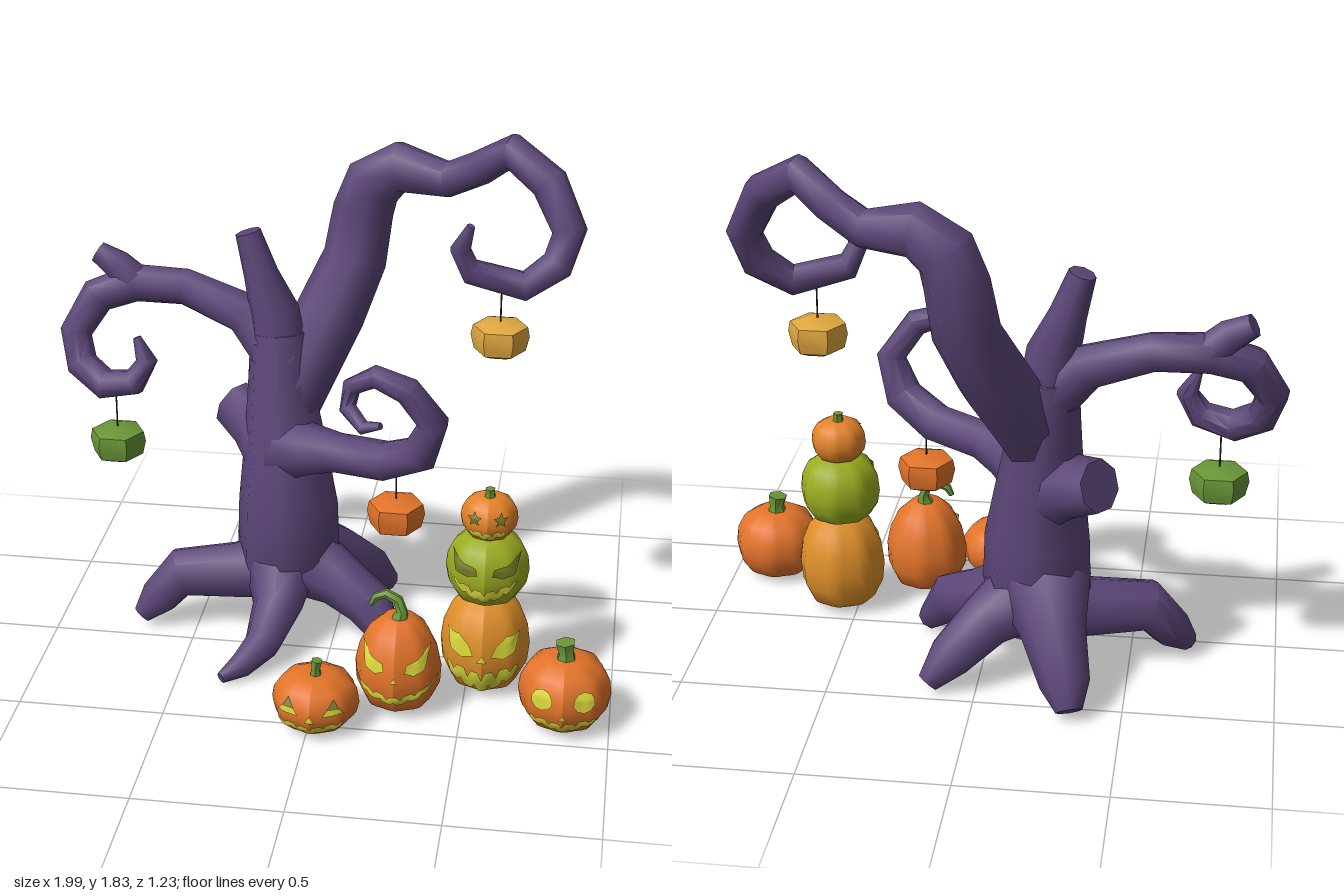
import * as THREE from 'three';
import { toCreasedNormals } from 'three/addons/utils/BufferGeometryUtils.js';

const mat = (name, color, side = THREE.FrontSide) => {
  const m = new THREE.MeshStandardMaterial({ color, side });
  m.name = name;
  return m;
};

export function createModel() {
  const model = new THREE.Group();
  model.name = 'spookyTree';
  const bark = mat('purple bark', 0x5b4678);
  const orange = mat('orange', 0xe3742a);
  const lightOrange = mat('light orange', 0xe4842a);
  const amber = mat('amber', 0xe0902a);
  const lime = mat('lime', 0x9bac20);
  const gold = mat('gold', 0xe0a840);
  const leaf = mat('leaf green', 0x6a9638);
  const glow = mat('yellow glow', 0xdad83a, THREE.DoubleSide);
  const olive = mat('dark olive', 0x72741f, THREE.DoubleSide);
  const cord = mat('dark cord', 0x3a3340);

  const add = (parent, name, geo, material) => {
    const m = new THREE.Mesh(geo, material);
    m.name = name;
    parent.add(m);
    return m;
  };

  const meshFrom = (pos, idx) => {
    const g = new THREE.BufferGeometry();
    g.setAttribute('position', new THREE.Float32BufferAttribute(pos, 3));
    g.setIndex(idx);
    g.computeVertexNormals();
    return g;
  };

  // Tapered limb: one ring per [x, y, z, radius], carried along the path without twisting
  const limb = (rows, sides = 8) => {
    const P = rows.map(r => new THREE.Vector3(r[0], r[1], r[2]));
    const n = P.length, pos = [], idx = [];
    let N = null;
    for (let i = 0; i < n; i++) {
      const T = P[Math.min(i + 1, n - 1)].clone().sub(P[Math.max(i - 1, 0)]).normalize();
      if (!N) N = Math.abs(T.z) < 0.8 ? new THREE.Vector3(0, 0, 1) : new THREE.Vector3(1, 0, 0);
      N.addScaledVector(T, -N.dot(T)).normalize();
      const B = T.clone().cross(N);
      for (let j = 0; j < sides; j++) {
        const a = (j / sides) * Math.PI * 2;
        const v = P[i].clone()
          .addScaledVector(N, Math.cos(a) * rows[i][3])
          .addScaledVector(B, Math.sin(a) * rows[i][3]);
        pos.push(v.x, v.y, v.z);
      }
    }
    pos.push(...P[0].toArray(), ...P[n - 1].toArray());
    const c0 = n * sides, c1 = c0 + 1, last = (n - 1) * sides;
    for (let j = 0; j < sides; j++) {
      const k = (j + 1) % sides;
      for (let i = 0; i < n - 1; i++) {
        const a = i * sides + j, b = i * sides + k;
        idx.push(a, b, b + sides, a, b + sides, a + sides);
      }
      idx.push(c0, k, j, c1, last + j, last + k);
    }
    return toCreasedNormals(meshFrom(pos, idx), 0.9);
  };

  // Tree
  const tree = new THREE.Group();
  tree.name = 'tree';
  model.add(tree);
  const limbs = {
    trunk: [[-.18, .17, -.2, .15], [-.18, .3, -.2, .185], [-.18, .5, -.2, .178], [-.195, .75, -.22, .142],
      [-.212, .95, -.25, .115], [-.22, 1.12, -.27, .1]],
    tallBranch: [[-.18, .86, -.24, .11], [-.12, 1.01, -.31, .12], [-.055, 1.15, -.385, .122], [.02, 1.33, -.465, .112],
      [.045, 1.5, -.49, .106], [.08, 1.6, -.49, .104], [.175, 1.665, -.48, .092], [.345, 1.645, -.43, .064],
      [.455, 1.705, -.39, .06], [.565, 1.785, -.34, .062], [.695, 1.7, -.28, .064], [.77, 1.55, -.24, .06],
      [.735, 1.44, -.21, .06], [.63, 1.37, -.18, .052], [.45, 1.42, -.16, .045], [.415, 1.5, -.15, .036],
      [.45, 1.59, -.13, .014]],
    leftBranch: [[-.19, 1.0, -.25, .1], [-.345, 1.165, -.3, .078], [-.56, 1.24, -.33, .066], [-.74, 1.245, -.33, .068],
      [-.87, 1.2, -.3, .064], [-.94, 1.08, -.25, .056], [-.91, .98, -.2, .056], [-.82, .925, -.16, .055],
      [-.71, .95, -.14, .048], [-.665, 1.03, -.15, .038], [-.7, 1.11, -.16, .014]],
    leftTwig: [[-.74, 1.25, -.33, .065], [-.8, 1.31, -.33, .055], [-.87, 1.35, -.34, .04]],
    middleBranch: [[-.18, .71, -.18, .12], [-.07, .75, -.1, .09], [.02, .77, -.05, .07], [.195, .79, .03, .07],
      [.32, .86, .1, .066], [.365, .99, .13, .053], [.28, 1.11, .15, .047], [.17, 1.15, .14, .039],
      [.09, 1.1, .12, .034], [.08, 1.03, .14, .03], [.14, .985, .19, .025], [.2, 1.01, .22, .012]],
    topStub: [[-.21, 1, -.26, .1], [-.235, 1.2, -.27, .088], [-.28, 1.33, -.27, .062], [-.325, 1.475, -.28, .046]],
    knot: [[-.2, .67, -.22, .14], [-.3, .74, -.3, .108], [-.4, .78, -.375, .09]],
    leftRoot: [[-.17, .25, -.2, .14], [-.36, .22, -.16, .105], [-.56, .215, -.12, .092], [-.64, .12, -.1, .072],
      [-.7, .055, -.07, .035]],
    frontRoot: [[-.2, .28, -.16, .14], [-.19, .17, -.01, .09], [-.22, .1, .14, .065], [-.28, .06, .23, .045],
      [-.34, .04, .29, .02]],
    backRoot: [[-.2, .34, -.23, .17], [-.26, .25, -.41, .11], [-.31, .12, -.52, .085], [-.33, .05, -.575, .045]],
    backRightRoot: [[-.16, .3, -.22, .15], [-.02, .23, -.33, .1], [.09, .13, -.41, .08], [.16, .05, -.45, .04]],
    rightRoot: [[-.15, .28, -.19, .15], [.02, .22, -.13, .1], [.13, .17, -.07, .09], [.22, .05, -.01, .045]],
  };
  for (const [name, rows] of Object.entries(limbs)) add(tree, name, limb(rows), bark);

  // Hanging lanterns: six-sided barrels on cords
  const lantern = (x, y, z, cordTop, material) => {
    const g = new THREE.Group();
    g.name = 'hangingLantern';
    g.position.set(x, y, z);
    const prof = [[0, -.062], [.05, -.06], [.088, -.042], [.1, .008], [.093, .044], [.05, .058], [0, .06]];
    const body = new THREE.LatheGeometry(prof.map(p => new THREE.Vector2(...p)), 6, Math.PI / 2);
    add(g, 'lanternBody', toCreasedNormals(body, 0.5), material);
    const len = cordTop - y - .05;
    add(g, 'lanternCord', new THREE.CylinderGeometry(.003, .003, len, 5), cord).position.y = .05 + len / 2;
    model.add(g);
  };
  lantern(-.78, .71, -.15, .93, leaf);
  lantern(.555, 1.18, -.175, 1.39, gold);
  lantern(.235, .6, .05, .78, orange);

  // Pumpkins: lobed lathes, with face plates laid on the surface
  const PROFILE = [[0, .05], [.4, 0], [.74, .08], [.94, .26], [1, .46], [.96, .66], [.8, .85], [.45, .98], [0, .95]];
  const rib = a => 0.97 + 0.03 * Math.cos(8 * a);

  const pumpkin = (name, x, y, z, r, h, taper, material) => {
    const g = new THREE.Group();
    g.name = name;
    g.position.set(x, y, z);
    model.add(g);
    const prof = PROFILE.map(([a, t]) => new THREE.Vector2(a * r * (1 - taper * t * t), t * h));
    const body = new THREE.LatheGeometry(prof, 32);
    const p = body.attributes.position;
    for (let i = 0; i < p.count; i++) {
      const k = rib(Math.atan2(p.getX(i), p.getZ(i)));
      p.setXYZ(i, p.getX(i) * k, p.getY(i), p.getZ(i) * k);
    }
    body.computeVertexNormals();
    add(g, 'pumpkinBody', body, material);

    // Point just above the surface at face position (u, v)
    const onSurface = (u, v) => {
      let R = 0;
      for (let i = 1; i < prof.length - 2; i++) {
        const a = prof[i], b = prof[i + 1];
        if (v >= a.y && v <= b.y) R = a.x + (b.x - a.x) * (v - a.y) / (b.y - a.y);
      }
      let k = 1;
      for (let i = 0; i < 3; i++) k = rib(Math.asin(THREE.MathUtils.clamp(u / (R * k), -1, 1)));
      R = R * k + .007;
      return [u, v, Math.sqrt(Math.max(0, R * R - u * u))];
    };
    // Small plate: rings of points from its centre out to its edge
    const plate = (label, pts, m) => {
      const c = [0, 1].map(k => pts.reduce((s, q) => s + q[k], 0) / pts.length);
      const pos = [...onSurface(...c)], idx = [], n = pts.length * 3, rings = 3;
      for (let t = 1; t <= rings; t++) for (let i = 0; i < n; i++) {
        const q = pts[Math.floor(i / 3)], e = pts[(Math.floor(i / 3) + 1) % pts.length];
        const at = k => c[k] + (q[k] + (e[k] - q[k]) * (i % 3) / 3 - c[k]) * t / rings;
        pos.push(...onSurface(at(0), at(1)));
        const a = 1 + (t - 1) * n + i, b = 1 + (t - 1) * n + (i + 1) % n;
        if (t === 1) idx.push(0, a, b);
        else idx.push(a - n, a, b, a - n, b, b - n);
      }
      add(g, label, meshFrom(pos, idx), m);
    };
    return {
      eyes: (pts, m) => {
        plate('leftEye', pts, m);
        plate('rightEye', pts.map(q => [-q[0], q[1]]).reverse(), m);
      },
      nose: (v, s) => plate('nose', [[-s, v - s * .6], [s, v - s * .6], [0, v + s]], glow),
      // Curved grin with notched teeth
      mouth: (w, v, rise, depth, teeth) => {
        const n = teeth * 4, pos = [], idx = [], rows = 5;
        for (let i = 0; i <= n; i++) {
          const s = (i / n) * 2 - 1, mid = v + rise * s * s;
          const half = depth / 2 * Math.sqrt(Math.max(0, 1 - s * s * .96));
          const lo = mid - half * (i % 4 === 0 ? .4 : 1), hi = mid + half * (i % 4 === 2 ? .25 : 1);
          for (let j = 0; j < rows; j++) {
            pos.push(...onSurface(s * w, lo + (hi - lo) * j / (rows - 1)));
            const a = (i - 1) * rows + j, b = a + rows;
            if (i && j < rows - 1) idx.push(a, b, b + 1, a, b + 1, a + 1);
          }
        }
        add(g, 'mouth', meshFrom(pos, idx), glow);
      },
      stem: rows => add(g, 'stem', limb(rows, 6), leaf),
    };
  };
  const ring = (u, v, n, radius) => Array.from({ length: n }, (_, i) => {
    const a = i / n * Math.PI * 2 + Math.PI / 2;
    return [u + Math.cos(a) * radius(i), v + Math.sin(a) * radius(i)];
  });

  const small = pumpkin('smallPumpkin', .02, .015, .465, .148, .19, 0, orange);
  small.eyes([[.055, .122], [.096, .124], [.075, .155]], olive);
  small.eyes([[.04, .1], [.112, .105], [.096, .124], [.055, .122]], glow);
  small.nose(.092, .017);
  small.mouth(.11, .045, .025, .038, 5);
  small.stem([[0, .17, 0, .022], [0, .2, 0, .016], [.005, .235, 0, .02]]);

  const tall = pumpkin('tallPumpkin', .28, .02, .31, .155, .34, .25, orange);
  tall.eyes([[.035, .19], [.065, .178], [.1, .195], [.115, .265], [.075, .232], [.04, .218]], glow);
  tall.nose(.165, .012);
  tall.mouth(.14, .085, .06, .036, 6);
  tall.stem([[0, .31, 0, .035], [.01, .35, 0, .02], [-.005, .39, -.005, .019], [-.045, .41, -.01, .017],
    [-.08, .395, -.01, .015], [-.095, .365, -.01, .01]]);

  const base = pumpkin('stackBottomPumpkin', .56, .02, .135, .157, .36, .1, amber);
  base.eyes([[.03, .18], [.07, .168], [.11, .19], [.122, .25], [.08, .25], [.045, .215]], glow);
  base.nose(.17, .018);
  base.mouth(.12, .075, .05, .09, 5);

  const middle = pumpkin('stackMiddlePumpkin', .56, .355, .135, .142, .25, 0, lime);
  middle.eyes([[.025, .15], [.06, .138], [.1, .15], [.115, .205], [.07, .18], [.03, .172]], olive);
  middle.mouth(.105, .07, .05, .05, 5);

  const top = pumpkin('stackTopPumpkin', .56, .59, .13, .097, .15, 0, lightOrange);
  top.eyes(ring(.044, .097, 10, i => i % 2 ? .012 : .026), olive);
  top.mouth(.062, .037, .015, .036, 4);
  top.stem([[0, .13, 0, .024], [0, .155, 0, .016], [0, .172, 0, .018]]);

  const round = pumpkin('roundPumpkin', .845, .02, .345, .156, .25, 0, orange);
  round.eyes(ring(.07, .152, 10, () => .036), glow);
  round.nose(.098, .015);
  round.mouth(.11, .055, .025, .045, 5);
  round.stem([[0, .22, 0, .04], [0, .26, 0, .027], [-.005, .3, 0, .035]]);

  return model;
}
